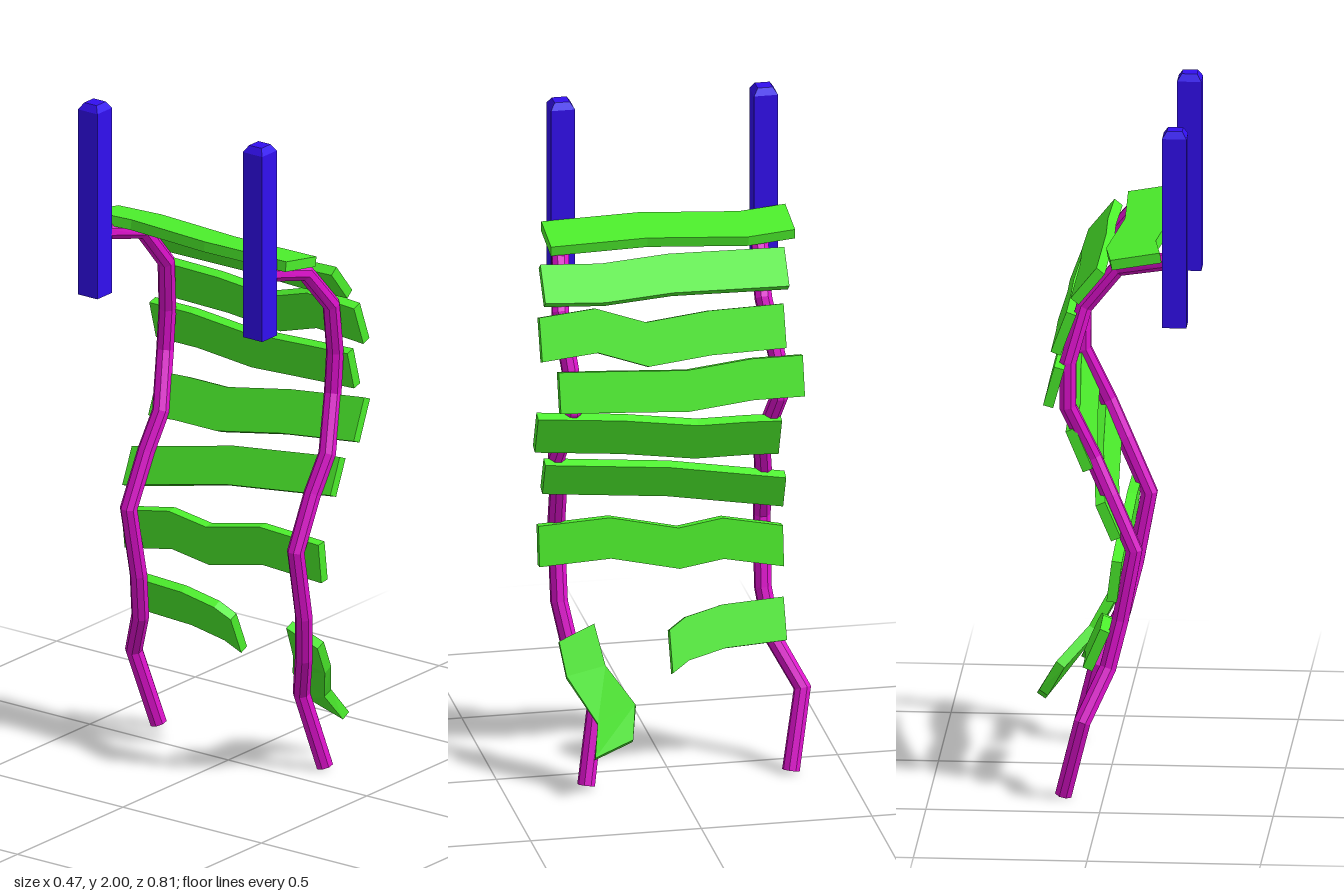
import * as THREE from 'three';

const V = (x, y, z) => new THREE.Vector3(x, y, z);
const mat = (color) => new THREE.MeshStandardMaterial({ color, flatShading: true });

// Closed solid through equal-sized rings of points, capped at both ends
function loft(rings) {
  const pos = [];
  const tri = (...pts) => pts.forEach((p) => pos.push(p.x, p.y, p.z));
  const n = rings[0].length;
  for (let i = 0; i < rings.length - 1; i++) {
    const r = rings[i], s = rings[i + 1];
    for (let k = 0; k < n; k++) {
      const j = (k + 1) % n;
      tri(r[k], r[j], s[j]);
      tri(r[k], s[j], s[k]);
    }
  }
  const first = rings[0], last = rings[rings.length - 1];
  for (let k = 1; k < n - 1; k++) {
    tri(first[0], first[k + 1], first[k]);
    tri(last[0], last[k], last[k + 1]);
  }
  const g = new THREE.BufferGeometry();
  g.setAttribute('position', new THREE.Float32BufferAttribute(pos, 3));
  g.computeVertexNormals();
  return g;
}

// Polyline rope with mitred joints
function ropeGeometry(points, radius = 0.026, sides = 8) {
  return loft(points.map((p, i) => {
    const prev = points[Math.max(i - 1, 0)], next = points[Math.min(i + 1, points.length - 1)];
    const a = p.clone().sub(prev).normalize(), b = next.clone().sub(p).normalize();
    const t = a.add(b).normalize();
    const u = V(0, 0, 1).addScaledVector(t, -t.z).normalize();
    const v = t.clone().cross(u);
    return Array.from({ length: sides }, (_, k) => {
      const q = ((k + 0.5) / sides) * Math.PI * 2;
      return p.clone().addScaledVector(u, radius * Math.cos(q)).addScaledVector(v, radius * Math.sin(q));
    });
  }));
}

// Board given by pairs of edge points on its outer face
function boardGeometry(pairs, thickness = 0.03) {
  return loft(pairs.map(([a, b], i) => {
    const prev = pairs[Math.max(i - 1, 0)], next = pairs[Math.min(i + 1, pairs.length - 1)];
    const along = next[0].clone().add(next[1]).sub(prev[0]).sub(prev[1]);
    const n = b.clone().sub(a).cross(along).normalize().multiplyScalar(-thickness);
    return [a, b, b.clone().add(n), a.clone().add(n)];
  }));
}

export function createModel() {
  const group = new THREE.Group();
  const add = (name, geometry, material) => {
    const m = new THREE.Mesh(geometry, material);
    m.name = name;
    group.add(m);
  };
  const blue = mat(0x320ff0), magenta = mat(0xdd11cc), green = mat(0x4cee2c);

  // Square posts with chamfered tops
  const square = (h, y, z) => [[1, 1], [-1, 1], [-1, -1], [1, -1]]
    .map(([u, v]) => V(-0.205 + v * h, y, z + u * h));
  [['leftPost', 0.27], ['rightPost', -0.325]].forEach(([name, z]) => {
    add(name, loft([square(0.035, 1.415, z), square(0.035, 1.98, z), square(0.022, 2, z)]), blue);
  });

  // Hanging ropes: shared side profile, own sideways sway
  const profile = [[0.115, 0.01], [0.058, 0.24], [-0.01, 0.38], [-0.045, 0.52], [-0.085, 0.73], [-0.015, 0.89],
    [0.035, 1.0], [0.105, 1.16], [0.105, 1.29], [0.06, 1.45], [-0.037, 1.57], [-0.19, 1.605]];
  const sway = {
    leftRope: [0.26, 0.22, 0.28, 0.307, 0.308, 0.315, 0.33, 0.297, 0.305, 0.325, 0.305, 0.275],
    rightRope: [-0.34, -0.385, -0.31, -0.29, -0.295, -0.285, -0.27, -0.308, -0.3, -0.27, -0.28, -0.32],
  };
  for (const [name, zs] of Object.entries(sway)) {
    add(name, ropeGeometry(profile.map(([x, y], i) => V(x, y, zs[i]))), magenta);
  }

  // Warped planks: upper edge, lower edge, then [z, shift along the width]
  const planks = [
    [[-0.165, 1.645], [-0.022, 1.62], [[0.335, 0], [0.05, -0.012], [-0.24, 0.022], [-0.38, 0]]],
    [[0.02, 1.585], [0.095, 1.493], [[0.375, 0], [0.2, 0.01], [0, -0.005], [-0.34, 0]]],
    [[0.105, 1.455], [0.15, 1.335], [[0.395, 0], [0.23, -0.015], [0.085, 0.035], [-0.1, 0.015], [-0.32, 0.01]]],
    [[0.14, 1.295], [0.172, 1.18], [[0.345, 0], [0.2, 0.007], [-0.03, 0.02], [-0.22, 0], [-0.37, 0]]],
    [[0.14, 1.155], [0.09, 1.035], [[0.405, 0], [0.15, 0.03], [-0.07, 0.07], [-0.22, 0.07], [-0.315, 0.075]]],
    [[0.07, 0.985], [0.025, 0.88], [[0.37, 0], [0, 0.045], [-0.345, 0.12]]],
    [[-0.03, 0.76], [-0.015, 0.64], [[0.37, 0], [0.16, -0.01], [-0.04, 0.035], [-0.17, 0.015], [-0.345, 0.05]]],
    [[0.01, 0.505], [0.06, 0.39], [[0, 0.072], [-0.05, 0.038], [-0.16, 0.01], [-0.34, 0]]],
  ];
  planks.forEach(([a, b, stations], i) => {
    const len = Math.hypot(b[0] - a[0], b[1] - a[1]);
    const dx = (b[0] - a[0]) / len, dy = (b[1] - a[1]) / len;
    const pairs = stations.map(([z, s]) => [a, b].map(([x, y]) => V(x + dx * s, y + dy * s, z)));
    add(i < 7 ? `plank${i + 1}` : 'brokenPlank', boardGeometry(pairs), green);
  });

  // Broken half plank dangling from the left rope
  add('danglingPlank', boardGeometry([
    [V(0.02, 0.468, 0.217), V(0.03, 0.425, 0.322)],
    [V(0.08, 0.36, 0.196), V(0.08, 0.335, 0.31)],
    [V(0.17, 0.27, 0.127), V(0.175, 0.22, 0.238)],
    [V(0.22, 0.18, 0.143), V(0.235, 0.138, 0.257)],
  ]), green);

  return group;
}
